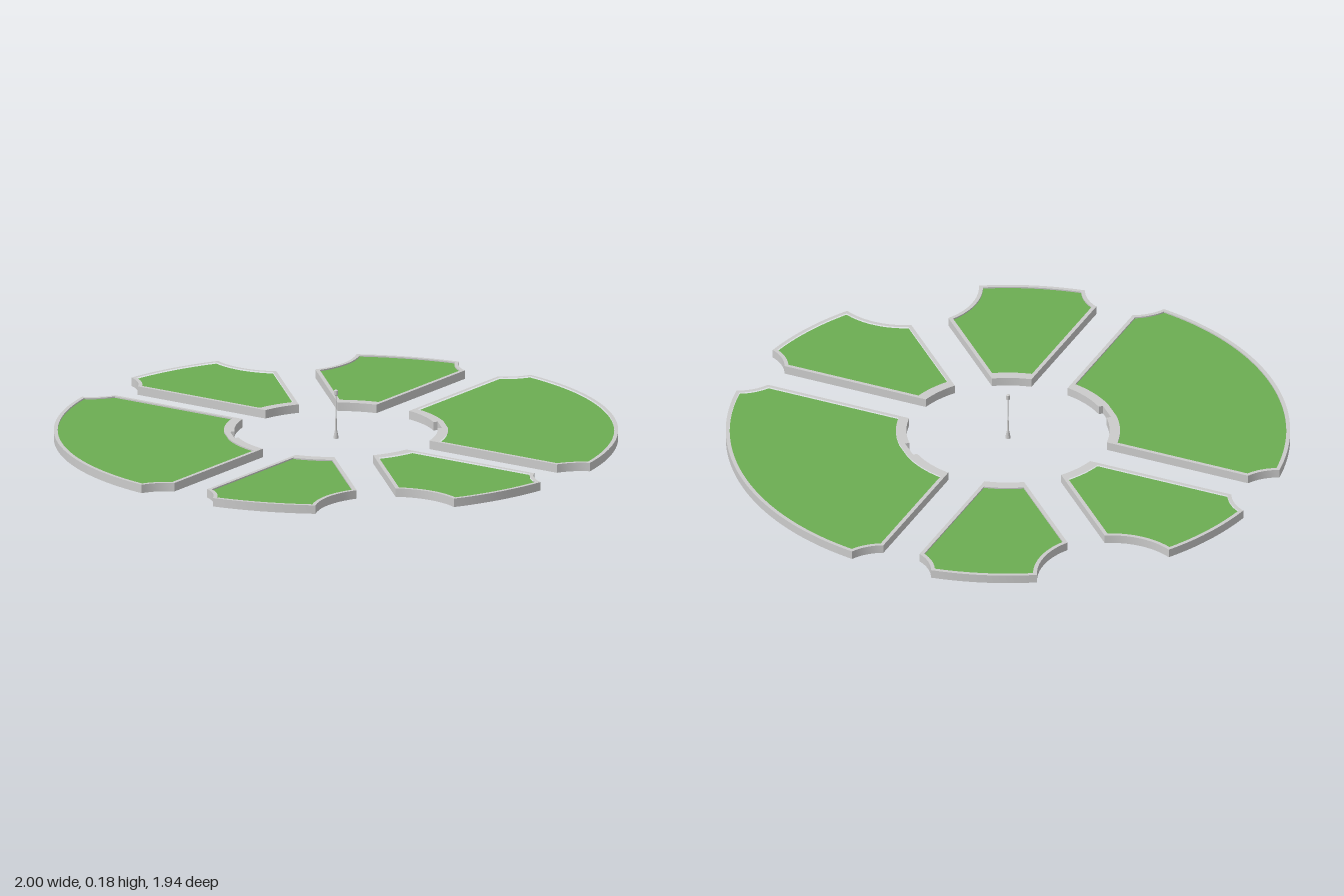
import * as THREE from 'three';
import { toCreasedNormals } from 'three/addons/utils/BufferGeometryUtils.js';

const stone = new THREE.MeshStandardMaterial({ color: 0xcccccc });
const grass = new THREE.MeshStandardMaterial({ color: 0x6cad52 });
const DIAG = Math.PI / 4;
const SCOOP = 1.056, SCOOP_R = 0.168; // round cut-out between neighbouring beds
const AXIS_SCOOP = 1.05, AXIS_R = 0.262; // cut-out at the ends of the long path

// Point given as distance along a ray and offset to its left
const onRay = (angle, along, side) => new THREE.Vector2(along, side).rotateAround(new THREE.Vector2(), angle);

// Where a circle centred on the ray at distance c meets the circle of radius R round the origin
function circleMeet(angle, c, r, R, side) {
  const along = (c * c + R * R - r * r) / (2 * c);
  return onRay(angle, along, side * Math.sqrt(R * R - along * along));
}

// Points of the shorter arc from p to q round a centre
function arc(center, p, q, n) {
  const a = p.clone().sub(center), b = q.clone().sub(center);
  const sweep = Math.atan2(a.cross(b), a.dot(b));
  return Array.from({ length: n + 1 }, (_, i) => p.clone().rotateAround(center, sweep * i / n));
}

const origin = new THREE.Vector2();
const diagCenter = onRay(DIAG, SCOOP, 0);
const axisCenter = new THREE.Vector2(0, AXIS_SCOOP);

// Small bed in the quadrant beside the long path, inset by d (inner arc by di)
function smallBed(d, di) {
  const x = 0.07 + d, h = 0.0707 + d, R = 1 - d, ri = 0.36 + di, rs = SCOOP_R + d, ra = AXIS_R + d;
  const innerA = new THREE.Vector2(x, Math.sqrt(ri * ri - x * x));
  const innerB = onRay(DIAG, Math.sqrt(ri * ri - h * h), h);
  const scoopIn = onRay(DIAG, SCOOP - Math.sqrt(rs * rs - h * h), h);
  const scoopOut = circleMeet(DIAG, SCOOP, rs, R, 1);
  const axisOut = circleMeet(Math.PI / 2, AXIS_SCOOP, ra, R, -1);
  const axisIn = new THREE.Vector2(x, AXIS_SCOOP - Math.sqrt(ra * ra - x * x));
  return [
    ...arc(origin, innerA, innerB, 8),
    ...arc(diagCenter, scoopIn, scoopOut, 8),
    ...arc(origin, scoopOut, axisOut, 12).slice(1),
    ...arc(axisCenter, axisOut, axisIn, 10).slice(1),
  ];
}

// Large side bed, optionally with the shallow notch in its inner edge
function largeBed(d, di, notch) {
  const h = 0.0707 + d, R = 1 - d, ri = 0.36 + di, rs = SCOOP_R + d;
  const inner = onRay(DIAG, Math.sqrt(ri * ri - h * h), -h);
  const scoopIn = onRay(DIAG, SCOOP - Math.sqrt(rs * rs - h * h), -h);
  const scoopOut = circleMeet(DIAG, SCOOP, rs, R, -1);
  const flip = (p) => new THREE.Vector2(p.x, -p.y);
  const half = [
    ...arc(origin, onRay(0.11, ri, 0), inner, 10),
    ...arc(diagCenter, scoopIn, scoopOut, 8),
    ...arc(origin, scoopOut, new THREE.Vector2(R, 0), 20).slice(1),
  ];
  if (notch) half.unshift(onRay(0.11, 0.376, 0));
  return [...half, ...half.slice(0, -1).reverse().map(flip)];
}

// Extrude an outline upwards from y0 to y1
function slab(outline, hole, y0, y1, material, name) {
  const shape = new THREE.Shape(outline);
  if (hole) shape.holes.push(new THREE.Path(hole));
  const geo = new THREE.ExtrudeGeometry(shape, { depth: y1 - y0, bevelEnabled: false });
  geo.rotateX(-Math.PI / 2).translate(0, y0, 0);
  const mesh = new THREE.Mesh(toCreasedNormals(geo, 0.5), material);
  mesh.name = name;
  return mesh;
}

// Raised kerb with the lawn set a little below its top
function bed(outer, inner, sx, sy, name) {
  const place = (pts) => pts.map((p) => new THREE.Vector2(p.x * sx, p.y * sy));
  const group = new THREE.Group();
  group.name = name;
  group.add(
    slab(place(outer), place(inner), 0, 0.031, stone, 'kerb'),
    slab(place(inner), null, 0.003, 0.026, grass, 'lawn'),
  );
  return group;
}

export function createModel() {
  const model = new THREE.Group();
  model.name = 'roundGarden';

  for (const sx of [1, -1]) {
    const side = sx > 0 ? 'left' : 'right';
    model.add(bed(largeBed(0, 0, true), largeBed(0.014, 0.037, false), sx, 1, side + 'LargeBed'));
    for (const sy of [1, -1]) {
      model.add(bed(smallBed(0, 0), smallBed(0.014, 0.037), sx, sy, side + (sy > 0 ? 'Back' : 'Front') + 'Bed'));
    }
  }

  // Lamp post in the middle: flared foot, thin pole and small head
  const profile = [[0, 0], [0.009, 0], [0.009, 0.006], [0.003, 0.035], [0.002, 0.158],
    [0.007, 0.16], [0.007, 0.176], [0, 0.18]].map(([x, y]) => new THREE.Vector2(x, y));
  const lamp = new THREE.Mesh(toCreasedNormals(new THREE.LatheGeometry(profile, 12), 0.6), stone);
  lamp.name = 'lampPost';
  model.add(lamp);
  return model;
}
